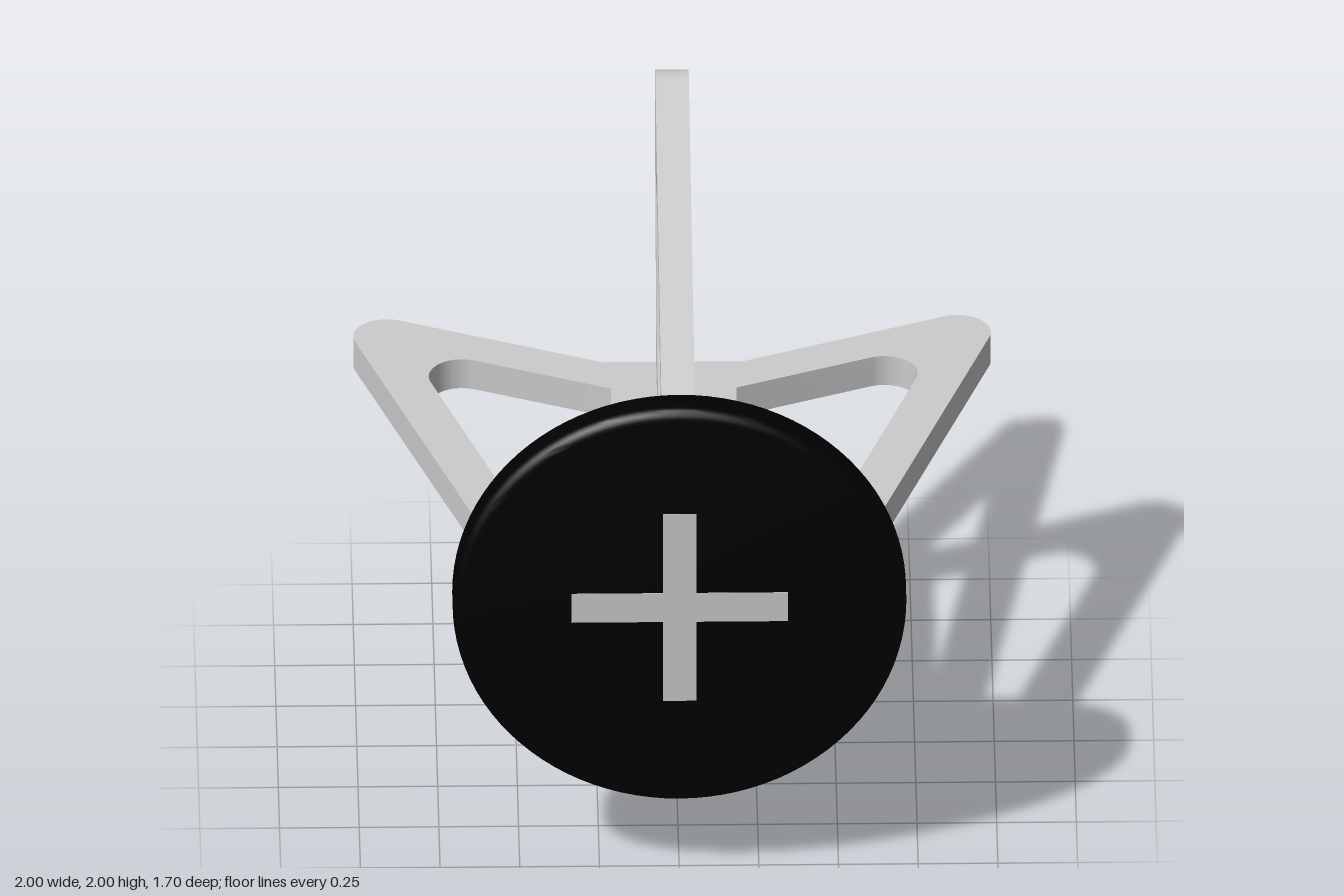
import * as THREE from 'three';
import { toCreasedNormals } from 'three/addons/utils/BufferGeometryUtils.js';

const THICK = 0.105, HALF = THICK / 2;
const PLATE_BACK = 0.743, FRONT = 0.85, BACK = -0.575;

// Fin outline: x is the distance from the central axis, y runs towards the front
function finGeometry() {
  const a0 = 0.32, a1 = -1.96, r = 0.105;
  const shape = new THREE.Shape();
  shape.moveTo(HALF, FRONT);
  shape.lineTo(0.34, FRONT); // tab through the plate
  shape.lineTo(0.34, PLATE_BACK);
  shape.lineTo(0.515, PLATE_BACK);
  shape.absarc(0.895, -0.745, r, a0, a1, true); // rounded tip
  shape.lineTo(0.22, BACK);
  shape.lineTo(HALF, BACK);
  shape.closePath();

  // Window, wound opposite to the outline
  const hole = new THREE.Path();
  hole.moveTo(0.197, 0.6);
  hole.lineTo(0.197, -0.413);
  hole.absarc(0.662, -0.495, r, a1, a0, false);
  hole.lineTo(0.413, 0.6);
  hole.closePath();
  shape.holes.push(hole);

  const geo = new THREE.ExtrudeGeometry(shape, { depth: THICK, bevelEnabled: false, curveSegments: 16 });
  geo.translate(0, 0, -HALF);
  geo.rotateX(Math.PI / 2);
  return toCreasedNormals(geo, 0.3);
}

// Disc with a rounded front edge, just behind the ends of the tabs
function plateGeometry() {
  const R = 0.712, b = 0.035, front = FRONT - 0.001;
  const pts = [new THREE.Vector2(0, PLATE_BACK), new THREE.Vector2(R, PLATE_BACK)];
  for (let i = 0; i <= 6; i++) {
    const a = (i / 6) * Math.PI / 2;
    pts.push(new THREE.Vector2(R - b + b * Math.cos(a), front - b + b * Math.sin(a)));
  }
  pts.push(new THREE.Vector2(0, front));
  const geo = new THREE.LatheGeometry(pts, 96);
  geo.rotateX(Math.PI / 2);
  return toCreasedNormals(geo, 0.6);
}

export function createModel() {
  const model = new THREE.Group();
  model.name = 'finnedStand';
  const grey = new THREE.MeshStandardMaterial({ color: 0xcccccc });
  const black = new THREE.MeshStandardMaterial({ color: 0x000000 });

  const add = (name, geo, mat) => {
    const mesh = new THREE.Mesh(geo, mat);
    mesh.name = name;
    mesh.position.y = 1;
    model.add(mesh);
    return mesh;
  };

  // Four fins around the central axis
  const fin = finGeometry();
  ['leftFin', 'upperFin', 'rightFin', 'lowerFin'].forEach((name, i) => {
    add(name, fin, grey).rotation.z = i * Math.PI / 2;
  });

  // Square core joining the fins
  const core = new THREE.BoxGeometry(THICK, THICK, FRONT - BACK);
  core.translate(0, 0, (FRONT + BACK) / 2);
  add('core', core, grey);

  // Round front plate
  add('frontPlate', plateGeometry(), black);
  return model;
}
